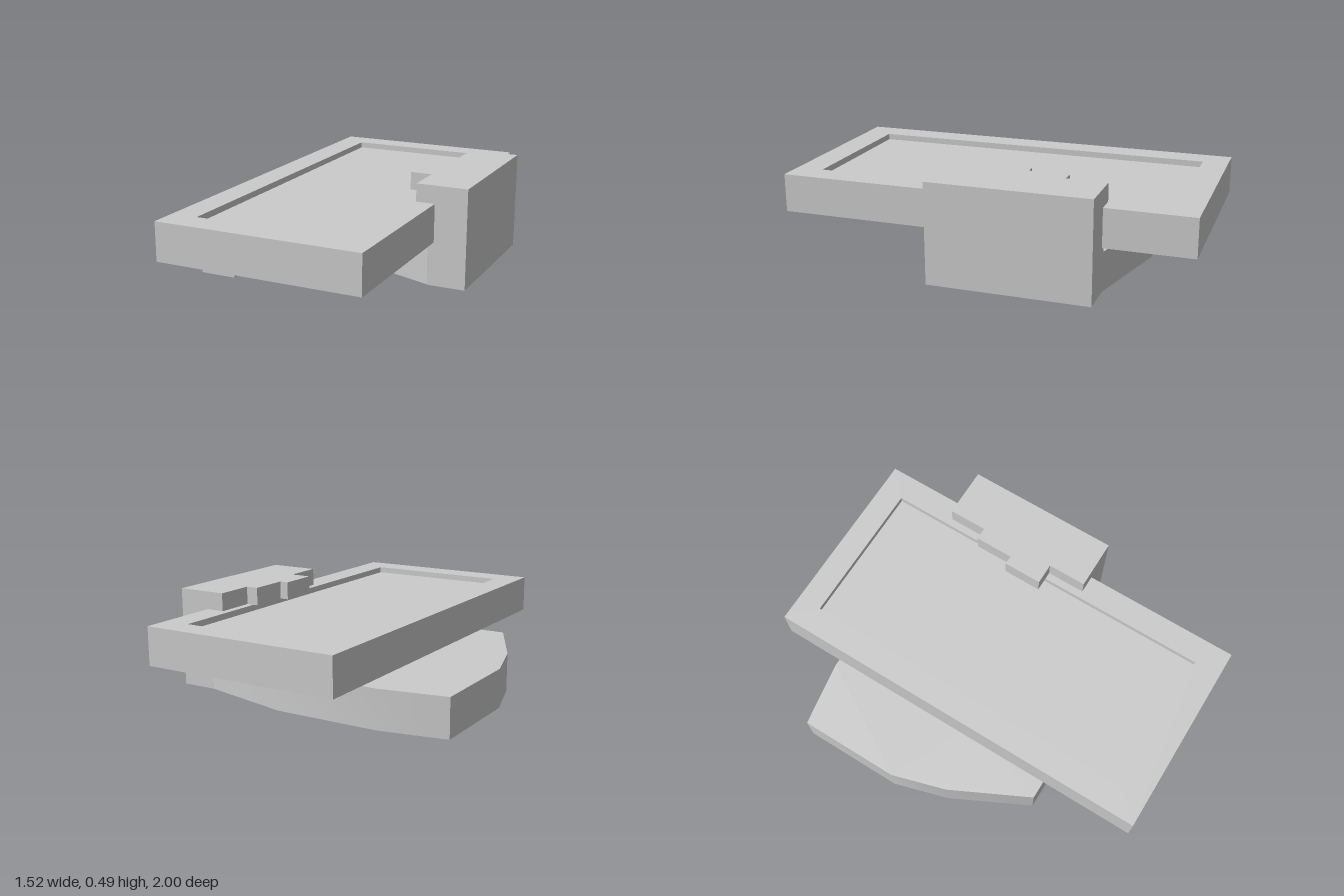
import * as THREE from 'three';
import { toCreasedNormals } from 'three/addons/utils/BufferGeometryUtils.js';

const material = new THREE.MeshStandardMaterial({ color: 0xcccccc });

// Plan outline given as [x, z] pairs; z is flipped for the shape plane.
const toPoints = (outline) => outline.map(([x, z]) => new THREE.Vector2(x, -z));
const rectangle = (x0, x1, z0, z1) => [[x0, z0], [x0, z1], [x1, z1], [x1, z0]];

// Upright prism with the given plan, from height y0 to y1.
function prism(name, outline, y0, y1, hole) {
  const shape = new THREE.Shape(toPoints(outline));
  if (hole) shape.holes.push(new THREE.Path(toPoints(hole)));
  const geometry = new THREE.ExtrudeGeometry(shape, { depth: y1 - y0, bevelEnabled: false });
  geometry.rotateX(-Math.PI / 2).translate(0, y0, 0);
  const mesh = new THREE.Mesh(toCreasedNormals(geometry, 0.5), material);
  mesh.name = name;
  return mesh;
}

export function createModel() {
  const model = new THREE.Group();
  model.name = 'clampedTray';

  // Tray: rim with a shallow recessed panel
  const recess = rectangle(-0.27, 0.47, -0.875, 0.865);
  const tray = new THREE.Group();
  tray.name = 'tray';
  tray.add(
    prism('trayRim', rectangle(-0.4, 0.6, -1, 1), 0.215, 0.402, recess),
    prism('trayPanel', recess, 0.215, 0.372),
  );

  // Curved support plate under the tray, with a cut-out at the front
  const supportPlate = prism('supportPlate', [
    [0.58, -0.58], [0.1, -0.7], [-0.43, -0.705], [-0.76, -0.65],
    [-0.76, -0.14], [-0.68, 0.13], [-0.485, 0.52], [-0.3, 0.52],
    [-0.34, 0.07], [0.11, 0.03], [0.58, 0.2],
  ], 0, 0.19);

  // Clamp: side column and a stepped jaw over the tray edge
  const clamp = new THREE.Group();
  clamp.name = 'clamp';
  clamp.add(
    prism('clampColumn', rectangle(0.57, 0.76, -0.58, 0.2), 0, 0.402),
    prism('clampJaw', [
      [0.76, -0.58], [0.507, -0.58], [0.507, -0.385], [0.445, -0.385],
      [0.445, -0.19], [0.4, -0.19], [0.4, 0.005], [0.507, 0.005],
      [0.507, 0.2], [0.76, 0.2],
    ], 0.402, 0.49),
  );

  model.add(tray, supportPlate, clamp);
  return model;
}
